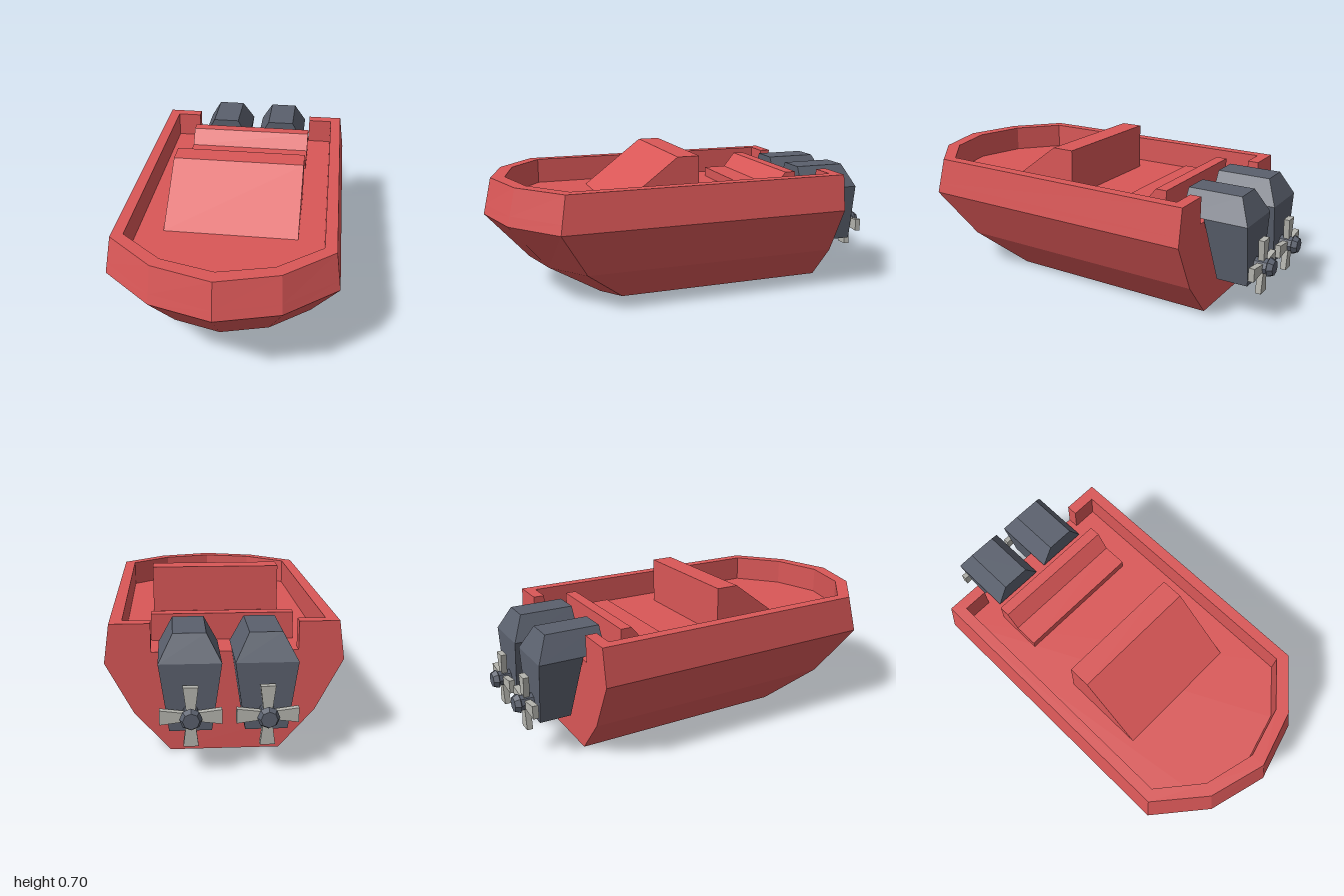
import * as THREE from 'three';

const mat = (color) => new THREE.MeshStandardMaterial({ color, flatShading: true });
const red = mat(0xd95757), slate = mat(0x5a606d), grey = mat(0xb4b4ae);

const DECK = 0.465, STERN = -0.7;

function add(parent, name, geometry, material) {
  const mesh = new THREE.Mesh(geometry, material);
  mesh.name = name;
  parent.add(mesh);
  return mesh;
}

// Solid through matching outlines; each ring is { y, pts: [[x, z], ...] }, counterclockwise from above
function loft(rings) {
  const pos = [], n = rings[0].pts.length;
  const at = (r, i) => [r.pts[i % n][0], r.y, r.pts[i % n][1]];
  for (let k = 0; k < rings.length - 1; k++) {
    const a = rings[k], b = rings[k + 1];
    for (let i = 0; i < n; i++) {
      pos.push(...at(a, i), ...at(a, i + 1), ...at(b, i + 1));
      pos.push(...at(a, i), ...at(b, i + 1), ...at(b, i));
    }
  }
  const cap = (r, up) => {
    const contour = r.pts.map(([x, z]) => new THREE.Vector2(x, -z));
    for (const [a, b, c] of THREE.ShapeUtils.triangulateShape(contour, []))
      pos.push(...at(r, a), ...at(r, up ? b : c), ...at(r, up ? c : b));
  };
  cap(rings[0], false);
  cap(rings[rings.length - 1], true);
  const g = new THREE.BufferGeometry();
  g.setAttribute('position', new THREE.Float32BufferAttribute(pos, 3));
  g.computeVertexNormals();
  return g;
}

// Half plan from stern to bow, mirrored to the other side
const mirrored = (half) => [
  ...half.map(([x, z]) => [-x, z]),
  ...half.slice(0, -1).reverse(),
];
const plan = (w, shoulder, mx, mz, bow, stern = STERN) =>
  mirrored([[w, stern], [w, shoulder], [mx, mz], [0, bow]]);

// Profile given as [z, y], extruded across the boat
function crossBlock(points, width) {
  const shape = new THREE.Shape(points.map(([z, y]) => new THREE.Vector2(z, y)));
  return new THREE.ExtrudeGeometry(shape, { depth: width, bevelEnabled: false })
    .rotateY(-Math.PI / 2).translate(width / 2, 0, 0);
}

const rect = (h, z0, z1) => [[-h, z0], [-h, z1], [h, z1], [h, z0]];

function makeMotor() {
  const motor = new THREE.Group();
  add(motor, 'motorLeg', loft([
    { y: 0.185, pts: rect(0.09, -0.91, -0.76) },
    { y: 0.48, pts: rect(0.1325, -0.91, -0.7) },
  ]), slate);
  add(motor, 'motorCowling', loft([
    { y: 0.48, pts: rect(0.1325, -0.91, -0.59) },
    { y: 0.595, pts: rect(0.07, -0.852, -0.59) },
  ]), slate);

  // Shaft and cap turned about the propeller axis
  const propeller = new THREE.Group();
  propeller.name = 'propeller';
  propeller.position.set(0, 0.263, -0.9);
  const hub = [[0, 0], [0.038, 0], [0.038, 0.07], [0.048, 0.075], [0.035, 0.1], [0, 0.1]];
  add(propeller, 'propellerHub',
    new THREE.LatheGeometry(hub.map(([r, h]) => new THREE.Vector2(r, h)), 8).rotateX(-Math.PI / 2), slate);

  // Four blades, wider at the tip
  const blade = new THREE.Shape([[-0.018, 0.02], [0.018, 0.02], [0.032, 0.13], [-0.032, 0.13]]
    .map(([x, y]) => new THREE.Vector2(x, y)));
  const bladeGeo = new THREE.ExtrudeGeometry(blade, { depth: 0.028, bevelEnabled: false }).translate(0, 0, -0.054);
  for (let i = 0; i < 4; i++)
    add(propeller, 'propellerBlade', bladeGeo, grey).rotation.z = i * Math.PI / 2;
  motor.add(propeller);
  return motor;
}

export function createModel() {
  const boat = new THREE.Group();
  boat.name = 'motorboat';

  // Outer outlines at the chines, deck and rail
  const widest = plan(0.53, 0.72, 0.29, 0.92, 1.0);
  const rail = plan(0.505, 0.69, 0.28, 0.88, 0.96);
  const t = (DECK - 0.417) / (0.595 - 0.417);
  const atDeck = widest.map((p, i) => p.map((v, j) => v + (rail[i][j] - v) * t));
  add(boat, 'hull', loft([
    { y: 0, pts: plan(0.245, 0.375, 0.135, 0.46, 0.5) },
    { y: 0.18, pts: plan(0.405, 0.58, 0.22, 0.73, 0.79) },
    { y: 0.417, pts: widest },
    { y: DECK, pts: atDeck },
  ]), red);

  // Raised wall around the deck, open at the stern for the motors
  const inner = [
    [0.325, STERN], [0.325, -0.645],
    ...plan(0.45, 0.66, 0.25, 0.825, 0.89, -0.645).reverse(),
    [-0.325, -0.645], [-0.325, STERN],
  ];
  add(boat, 'bulwark', loft([
    { y: DECK, pts: [...atDeck, ...inner] },
    { y: 0.595, pts: [...rail, ...inner] },
  ]), red);

  // Wedge console and rear bench
  add(boat, 'console', crossBlock([[0, DECK], [0.42, DECK], [0.11, 0.7], [0, 0.7]], 0.65), red);
  add(boat, 'bench', crossBlock([
    [-0.525, DECK], [-0.29, DECK], [-0.29, 0.515], [-0.41, 0.515], [-0.47, 0.59], [-0.525, 0.59],
  ], 0.65), red);

  // Twin outboard motors
  for (const side of [-1, 1]) {
    const motor = makeMotor();
    motor.name = side > 0 ? 'leftMotor' : 'rightMotor';
    motor.position.x = side * 0.16;
    boat.add(motor);
  }
  return boat;
}
